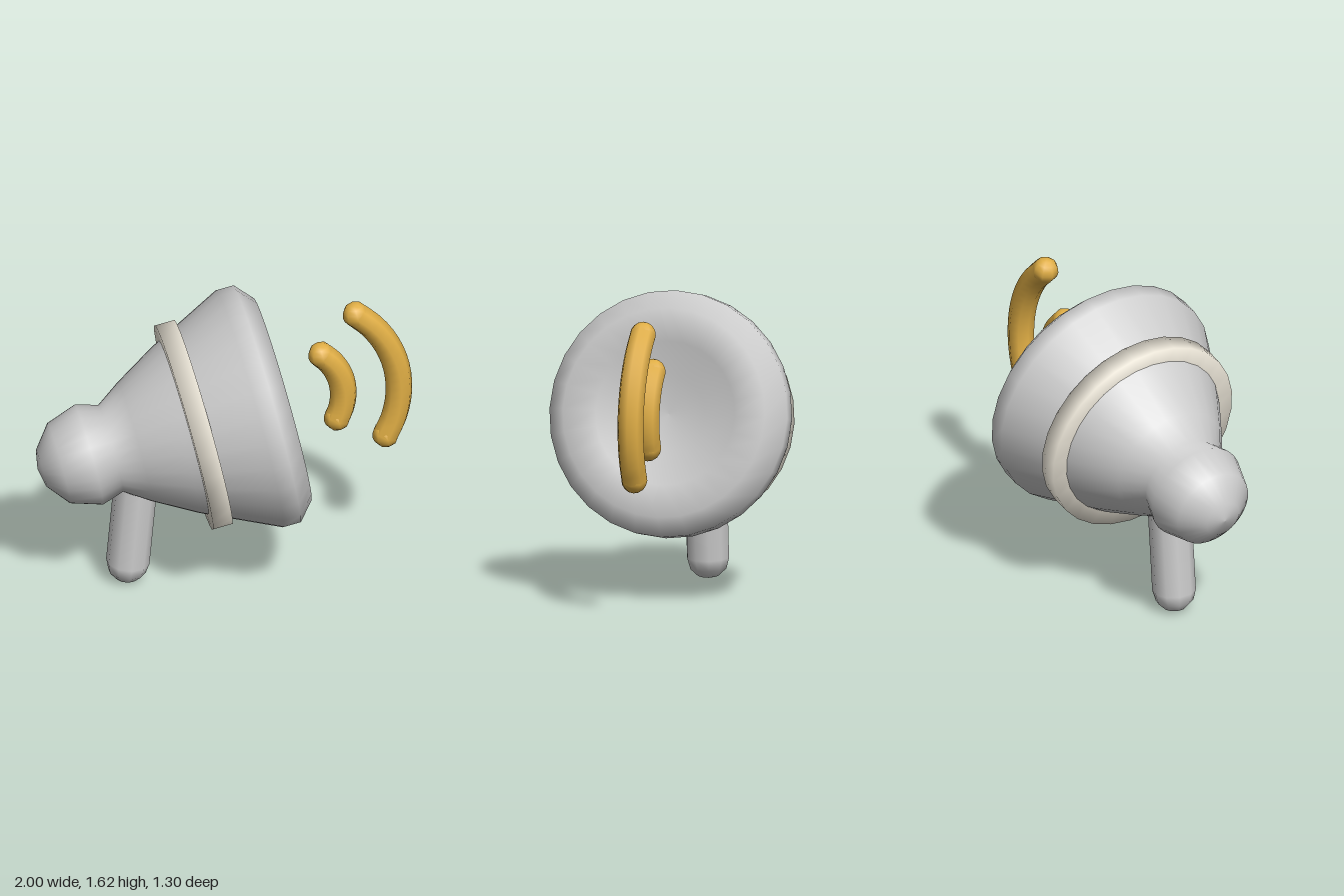
import * as THREE from 'three';

const grey = new THREE.MeshStandardMaterial({ color: 0xcccccc });
const cream = new THREE.MeshStandardMaterial({ color: 0xf0eadc });
const gold = new THREE.MeshStandardMaterial({ color: 0xe0ae45 });

function addMesh(parent, name, geometry, material) {
  const mesh = new THREE.Mesh(geometry, material);
  mesh.name = name;
  parent.add(mesh);
  return mesh;
}

// Revolves [distance along axis, radius] pairs about the x axis
function turned(profile) {
  const points = profile.map(([along, radius]) => new THREE.Vector2(radius, along));
  return new THREE.LatheGeometry(points, 28).rotateZ(-Math.PI / 2);
}

// Circular arc tube with rounded ends, centred on the x axis
function addWave(parent, name, centre, radius, halfAngle) {
  const wave = new THREE.Group();
  wave.name = name;
  wave.position.x = centre;
  parent.add(wave);
  const path = [];
  for (let i = 0; i <= 8; i++) {
    const a = halfAngle * (i / 4 - 1);
    path.push(new THREE.Vector3(radius * Math.cos(a), radius * Math.sin(a), 0));
  }
  const curve = new THREE.CatmullRomCurve3(path);
  addMesh(wave, 'arc', new THREE.TubeGeometry(curve, 16, 0.071, 8), gold);
  for (const end of [path[0], path[8]]) {
    addMesh(wave, 'roundedEnd', new THREE.SphereGeometry(0.071, 8, 8), gold).position.copy(end);
  }
}

export function createModel() {
  const model = new THREE.Group();
  model.name = 'megaphone';

  // Everything on the horn axis is tilted upward together
  const horn = new THREE.Group();
  horn.name = 'horn';
  horn.position.set(-0.183, 0.902, 0);
  horn.rotation.z = 0.21;
  model.add(horn);

  // Mouthpiece, cone, rounded rim and shallow dished front
  addMesh(horn, 'hornBody', turned([
    [-0.835, 0], [-0.815, 0.1], [-0.718, 0.22], [-0.554, 0.274], [-0.435, 0.238],
    [-0.305, 0.325], [-0.08, 0.455], [0.325, 0.65], [0.417, 0.65], [0.504, 0.552],
    [0.478, 0.38], [0.415, 0.2], [0.405, 0],
  ]), grey);

  // Raised band around the cone
  addMesh(horn, 'band', turned([
    [-0.037, 0.42], [-0.037, 0.56], [0.07, 0.56], [0.07, 0.42],
  ]), cream);

  // Sound waves
  addWave(horn, 'smallSoundWave', 0.511, 0.318, 0.676);
  addWave(horn, 'largeSoundWave', 0.543, 0.584, 0.71);

  // Handle
  const grip = new THREE.CapsuleGeometry(0.115, 0.6, 3, 10).rotateY(Math.PI / 2);
  const handle = addMesh(model, 'handle', grip, grey);
  handle.position.set(-0.49, 0.415, 0);
  handle.rotation.z = -0.09;

  return model;
}
